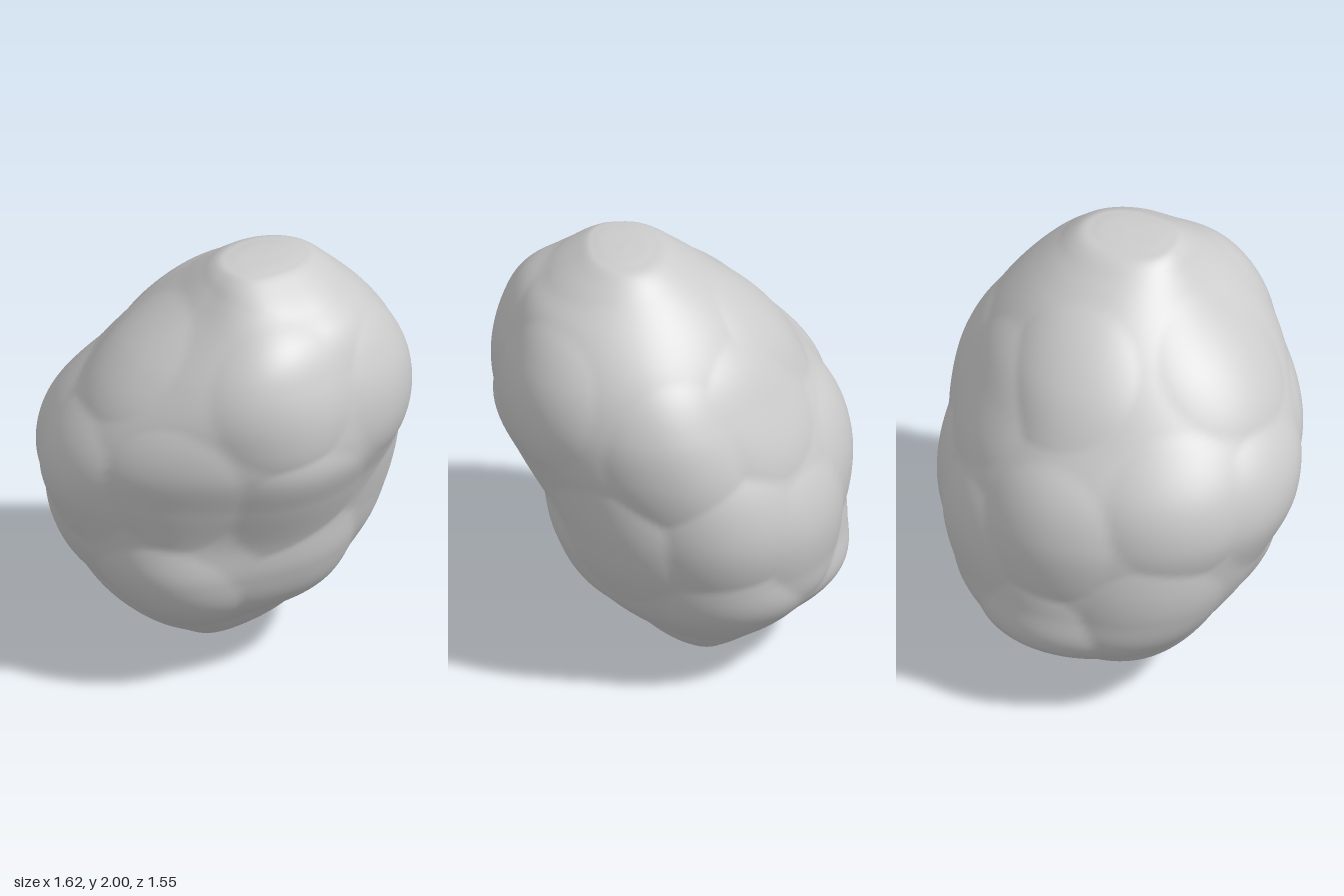
import * as THREE from 'three';

// Outline by height: y, xMin, xMax, zMin, zMax
const rows = [
  [0, 0.08, 0.08, -0.16, -0.16], [0.012, -0.01, 0.17, -0.21, -0.11], [0.05, -0.09, 0.24, -0.27, -0.04],
  [0.2, -0.32, 0.44, -0.5, 0.15], [0.4, -0.52, 0.63, -0.73, 0.39], [0.6, -0.66, 0.72, -0.765, 0.5],
  [0.8, -0.74, 0.775, -0.78, 0.565], [1.0, -0.8, 0.795, -0.77, 0.66], [1.2, -0.79, 0.795, -0.715, 0.765],
  [1.4, -0.7, 0.77, -0.59, 0.775], [1.6, -0.54, 0.69, -0.45, 0.73], [1.8, -0.33, 0.53, -0.26, 0.63],
  [1.96, -0.17, 0.34, -0.03, 0.4], [1.992, -0.08, 0.24, 0.08, 0.32], [2, 0.11, 0.11, 0.2, 0.2],
];

// Centres of the shallow swellings, which meet in creases
const swellings = [
  [-0.15, 1.55, 0.65], [0.42, 1.45, 0.55], [-0.58, 1.1, 0.42], [-0.02, 1.0, 0.62],
  [0.12, 0.55, 0.44], [0.6, 0.8, 0.3], [-0.45, 0.5, 0.2], [0.1, 0.1, -0.05],
  [0.1, 1.95, 0.25], [0.75, 1.3, 0], [0.74, 0.85, -0.25], [0.6, 0.42, -0.25],
  [0.5, 1.4, -0.4], [0.1, 1.6, -0.4], [-0.45, 1.55, 0], [-0.75, 1.05, -0.1],
  [-0.5, 1.15, -0.5], [0.05, 1.0, -0.76], [0.5, 0.75, -0.6], [-0.4, 0.6, -0.55],
  [0.1, 0.4, -0.7], [-0.3, 0.2, -0.25],
].map(c => new THREE.Vector3(...c));

// Smooth curve through one pair of columns, sharing the height column
function columnCurve(a, b) {
  return new THREE.CatmullRomCurve3(rows.map(r => new THREE.Vector3(r[a], r[0], r[b])), false, 'catmullrom');
}

// How far each corner of a cross-section bulges past an ellipse: +x+z, -x+z, -x-z, +x-z
function cornerBulges(y) {
  const foot = 0.05 * Math.exp(-((y / 0.3) ** 2));
  return [
    0.02 + foot,
    0.02 + 0.11 * Math.cos(4.1 * (y - 0.35)),
    0.01 + foot,
    foot - 0.06 * Math.exp(-(((y - 1.4) / 0.3) ** 2)),
  ];
}

function createBoulder(rings = 150, sides = 160) {
  const xCurve = columnCurve(1, 2), zCurve = columnCurve(3, 4);
  const positions = [], index = [];
  for (let i = 0; i <= rings; i++) {
    const xs = xCurve.getPoint(i / rings), zs = zCurve.getPoint(i / rings);
    const centre = new THREE.Vector3((xs.x + xs.z) / 2, xs.y, (zs.x + zs.z) / 2);
    const rx = (xs.z - xs.x) / 2, rz = (zs.z - zs.x) / 2;
    const bulges = cornerBulges(xs.y);
    for (let j = 0; j < sides; j++) {
      const a = j / sides * Math.PI * 2;
      const full = 1 + bulges[Math.floor(j / sides * 4)] * Math.sin(2 * a) ** 2;
      const out = new THREE.Vector3(rx * Math.cos(a) * full, 0, rz * Math.sin(a) * full);
      const p = centre.clone().add(out);
      // sink towards the creases between neighbouring swellings
      const nearest = Math.min(...swellings.map(s => s.distanceToSquared(p)));
      const reach = out.length();
      const depth = Math.min(0.035, 0.32 * nearest) - 0.012;
      if (reach > 0.01) p.addScaledVector(out, -depth * Math.min(1, reach / 0.4) / reach);
      positions.push(p.x, p.y, p.z);
      const k = (j + 1) % sides, lo = i * sides, hi = lo + sides;
      if (i > 0 && i < rings) index.push(lo + j, hi + j, lo + k);
      if (i < rings - 1) index.push(lo + k, hi + j, hi + k);
    }
  }
  const geometry = new THREE.BufferGeometry();
  geometry.setAttribute('position', new THREE.Float32BufferAttribute(positions, 3));
  geometry.setIndex(index);
  geometry.computeVertexNormals();
  return geometry;
}

export function createModel() {
  const group = new THREE.Group();
  group.name = 'rock';
  const boulder = new THREE.Mesh(createBoulder(), new THREE.MeshStandardMaterial({ color: 0xcccccc }));
  boulder.name = 'boulder';
  group.add(boulder);
  return group;
}
